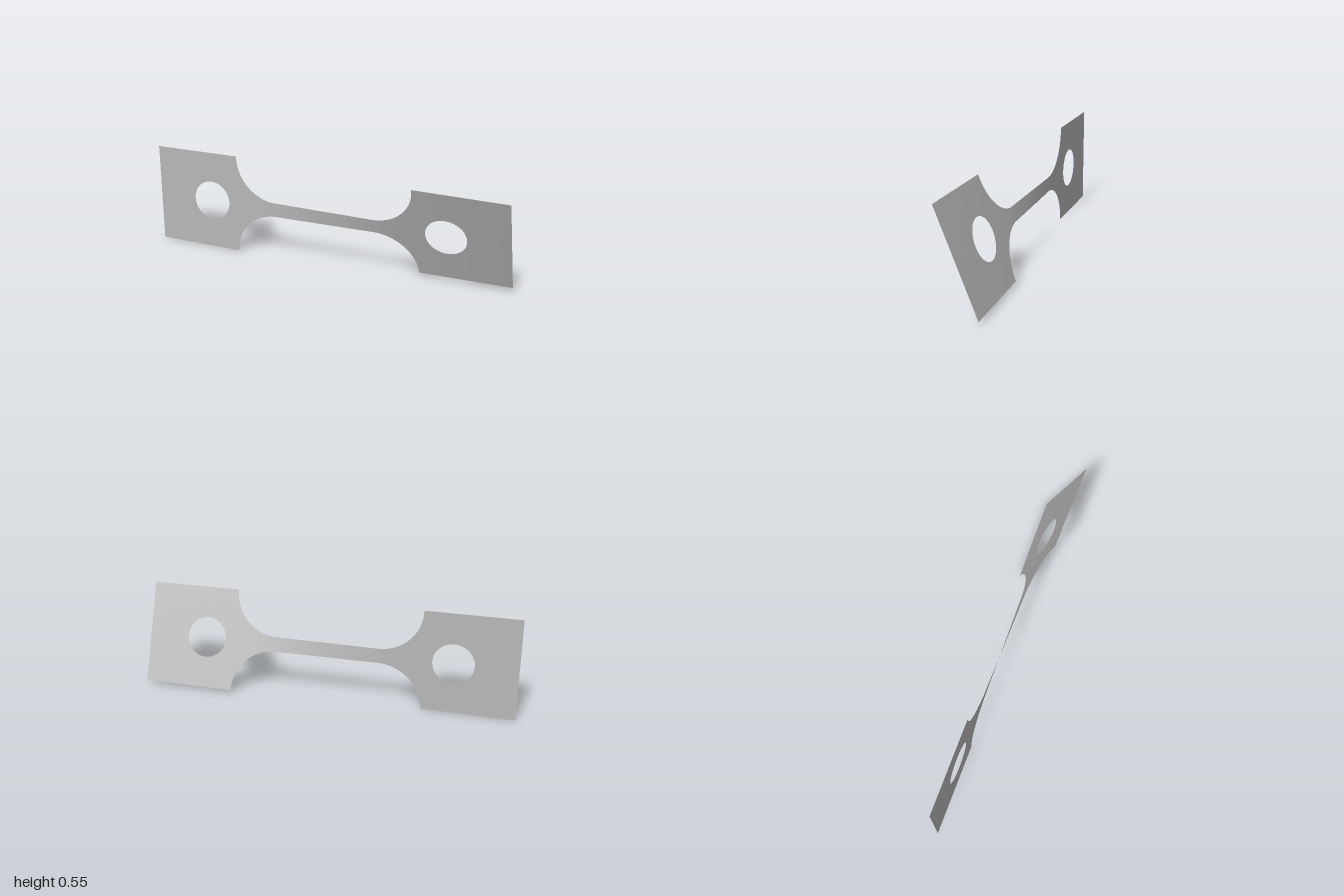
import * as THREE from 'three';

const HALF_HEIGHT = 0.2725, NECK = 0.039, FILLET = HALF_HEIGHT - NECK;
const FILLET_X = 0.51 - FILLET;          // where the neck meets the fillet arc
const HOLE_X = 0.67, HOLE_R = 0.108;

// half height of the sheet at x
function outline(x) {
  const d = Math.min(Math.max(Math.abs(x) - FILLET_X, 0), FILLET);
  return HALF_HEIGHT - Math.sqrt(Math.max(FILLET * FILLET - d * d, 0));
}

// half height of the round opening at x
function opening(x) {
  const d = Math.abs(x) - HOLE_X;
  return Math.sqrt(Math.max(HOLE_R * HOLE_R - d * d, 0));
}

// stations along the sheet, denser around arcs
function stations() {
  const half = [1, 0.95, 0.9, 0.85, 0.81];
  for (let i = 0; i <= 32; i++) half.push(HOLE_X + HOLE_R * Math.cos(Math.PI * i / 32));
  half.push(0.535);
  for (let i = 24; i >= 0; i--) half.push(FILLET_X + FILLET * Math.sin(Math.PI / 2 * i / 24));
  for (let i = 11; i > 0; i--) half.push(FILLET_X * i / 12);
  return [...half.map(x => -x), 0, ...half.reverse()];
}

// twist builds up fastest where the sheet is narrow; the -x grip stays flat
function twists(xs) {
  const raw = [0];
  for (let i = 1; i < xs.length; i++) {
    const mid = (xs[i] + xs[i - 1]) / 2;
    raw.push(raw[i - 1] + (mid < -0.38 ? 0 : (xs[i] - xs[i - 1]) / outline(mid)));
  }
  const scale = THREE.MathUtils.degToRad(21.6) / raw[raw.length - 1];
  return raw.map(t => t * scale);
}

// half of the sheet above (side = 1) or below (side = -1) the long axis
function sheetHalf(side) {
  const xs = stations(), angles = twists(xs), rows = 4;
  const positions = [], index = [];
  xs.forEach((x, i) => {
    const inner = opening(x), outer = outline(x);
    for (let j = 0; j <= rows; j++) {
      const r = side * THREE.MathUtils.lerp(inner, outer, j / rows);
      positions.push(x, HALF_HEIGHT + r * Math.cos(angles[i]), r * Math.sin(angles[i]));
    }
  });
  for (let i = 0; i < xs.length - 1; i++) {
    for (let j = 0; j < rows; j++) {
      const a = i * (rows + 1) + j, b = a + rows + 1;
      if (side > 0) index.push(a, b, b + 1, a, b + 1, a + 1);
      else index.push(a, b + 1, b, a, a + 1, b + 1);
    }
  }
  const geometry = new THREE.BufferGeometry();
  geometry.setAttribute('position', new THREE.Float32BufferAttribute(positions, 3));
  geometry.setIndex(index);
  geometry.computeVertexNormals();
  return geometry;
}

export function createModel() {
  const group = new THREE.Group();
  group.name = 'twistedTestStrip';
  const metal = new THREE.MeshStandardMaterial({ color: 0xb8b8b8, side: THREE.DoubleSide });
  metal.name = 'light grey';
  for (const [name, side] of [['upperSheet', 1], ['lowerSheet', -1]]) {
    const mesh = new THREE.Mesh(sheetHalf(side), metal);
    mesh.name = name;
    group.add(mesh);
  }
  return group;
}
